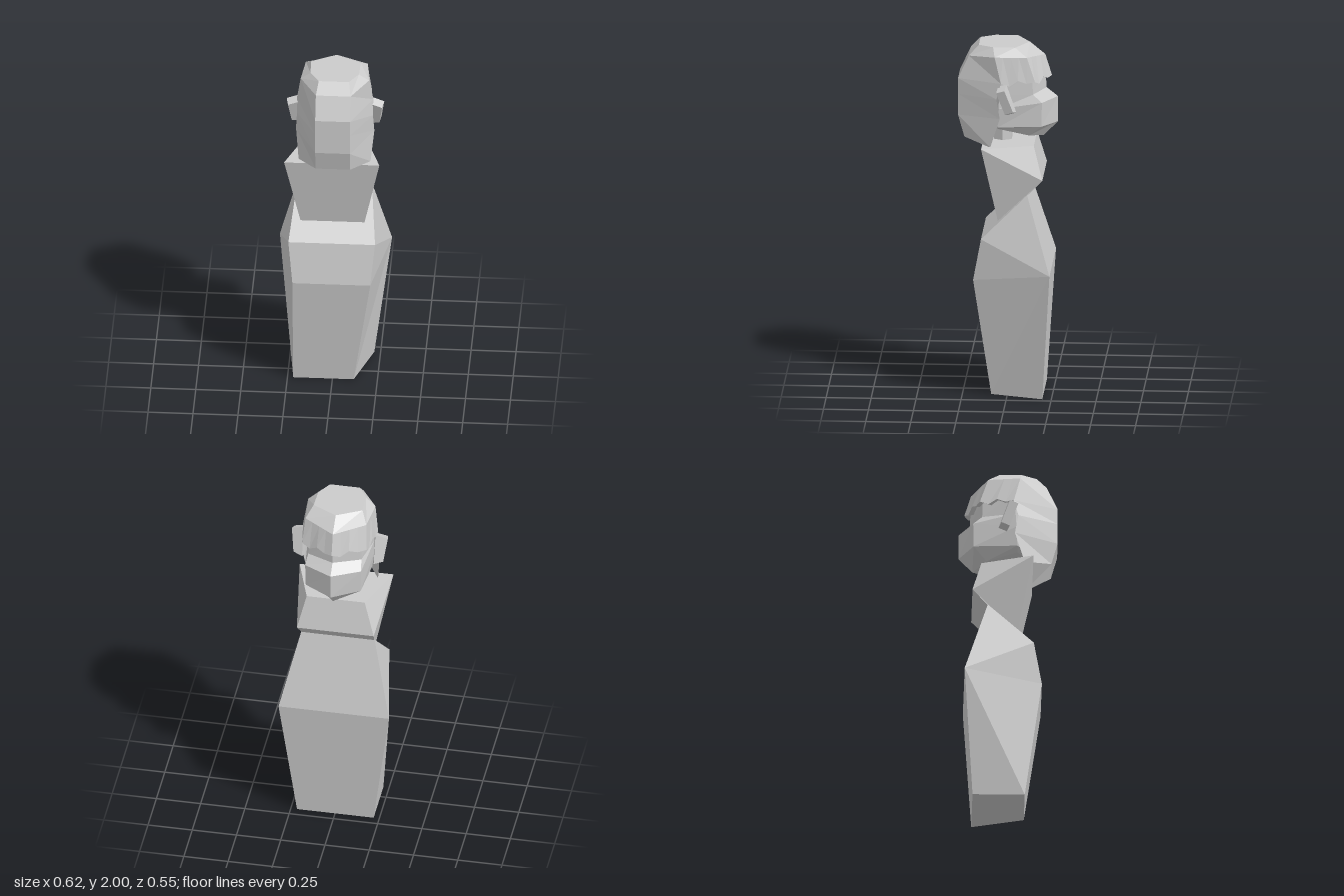
import * as THREE from 'three';

const CX = 0.012; // head is slightly off the body axis
const material = () => new THREE.MeshStandardMaterial({ color: 0xcccccc, flatShading: true, side: THREE.DoubleSide });

// mesh from a flat list of triangle corners
function facets(name, corners) {
  const g = new THREE.BufferGeometry();
  g.setAttribute('position', new THREE.Float32BufferAttribute(corners.flat(), 3));
  g.computeVertexNormals();
  const mesh = new THREE.Mesh(g, material());
  mesh.name = name;
  return mesh;
}

// side outline [z, y, leftX, rightX] spanned across x; sides fan from the first point
function slab(name, outline) {
  const L = outline.map(([z, y, l]) => [l, y, z]);
  const R = outline.map(([z, y, , r]) => [r, y, z]);
  const t = [], n = outline.length;
  for (let i = 0; i < n; i++) {
    const j = (i + 1) % n;
    t.push(L[i], R[i], R[j], L[i], R[j], L[j]);
    if (i > 0 && j > 0) t.push(L[0], L[i], L[j], R[0], R[j], R[i]);
  }
  return facets(name, t);
}

// surface through rows of points
function skin(rows, closed) {
  const t = [];
  for (let r = 0; r + 1 < rows.length; r++) {
    const a = rows[r], b = rows[r + 1], n = a.length;
    for (let i = 0; i < (closed ? n : n - 1); i++) {
      const j = (i + 1) % n;
      t.push(a[i], a[j], b[j], a[i], b[j], b[i]);
    }
  }
  return t;
}

function cap(ring) {
  const t = [];
  for (let i = 1; i + 1 < ring.length; i++) t.push(ring[0], ring[i], ring[i + 1]);
  return t;
}

// half row [x, y, z] starting on the centre line, mirrored to a full row
function mirrorRow(half) {
  const place = (s) => ([x, y, z]) => [CX + s * x, y, z];
  return [...half.slice(1).reverse().map(place(-1)), ...half.map(place(1))];
}

// insert points between neighbours
function subdivide(row, k) {
  const out = [];
  for (let i = 0; i + 1 < row.length; i++)
    for (let s = 0; s < k; s++) out.push(row[i].map((v, c) => v + (row[i + 1][c] - v) * s / k));
  return [...out, row[row.length - 1]];
}

function buildHair() {
  // crown rows: centre front, front corner, side, rear corner
  const crown = [
    [[0, 2, -0.118], [0.138, 2, -0.045], [0.135, 2, 0.078], [0.084, 2, 0.16]],
    [[0, 1.93, -0.205], [0.172, 1.952, -0.112], [0.19, 1.955, 0.066], [0.0965, 1.94, 0.215]],
    [[0, 1.81, -0.242], [0.182, 1.815, -0.158], [0.212, 1.81, 0.03], [0.0965, 1.81, 0.275]],
  ];
  const full = crown.map(mirrorRow);
  const t = cap(full[0]);
  t.push(...skin([full[0], full[1]], true));

  // fringe with a wavy hem and a lip turned in to the face
  const front = crown.slice(1).map(h => subdivide(mirrorRow(h.slice(0, 3)), 4));
  const hem = front[1].map(([x, y, z], i) => [x, y + [0, -0.006, 0.012, -0.018][i % 4], z]);
  const lip = hem.map(([x, y, z]) => [CX + (x - CX) * 0.86, y + 0.005, z * 0.86]);
  t.push(...skin([front[0], hem, lip]));

  // long back panels
  const back = [
    crown[1].slice(2),
    crown[2].slice(2),
    [[0.211, 1.72, 0.055], [0.0965, 1.72, 0.275]],
    [[0.218, 1.61, 0.036], [0.0965, 1.6, 0.275]],
    [[0.2, 1.44, 0.09], [0.0965, 1.475, 0.24]],
  ].map(h => {
    const [side, rear] = h;
    const m = ([x, y, z]) => [CX - x, y, z], p = ([x, y, z]) => [CX + x, y, z];
    return [m(side), m(rear), p(rear), p(side)];
  });
  t.push(...skin(back));
  return facets('hair', t);
}

function buildFace() {
  // rows from brow to chin: centre, cheek, side, back
  const rows = [
    [[0, 1.86, -0.205], [0.15, 1.86, -0.14], [0.19, 1.86, 0.03], [0.1, 1.86, 0.12]],
    [[0, 1.74, -0.212], [0.15, 1.735, -0.145], [0.19, 1.74, 0.04], [0.1, 1.74, 0.12]],
    [[0, 1.69, -0.275], [0.158, 1.69, -0.195], [0.19, 1.66, 0.045], [0.1, 1.66, 0.12]],
    [[0, 1.545, -0.275], [0.155, 1.553, -0.192], [0.175, 1.55, 0.05], [0.1, 1.55, 0.1]],
    [[0, 1.465, -0.197], [0.1, 1.487, -0.12], [0.13, 1.53, 0.05], [0.08, 1.53, 0.08]],
  ].map(mirrorRow);
  return facets('face', [...skin(rows, true), ...cap(rows[0]), ...cap(rows[4])]);
}

// tilted, tapered ear block
function buildEar(s) {
  const g = new THREE.BoxGeometry(0.07, 0.17, 0.05);
  const p = g.attributes.position;
  for (let i = 0; i < p.count; i++) {
    const x = p.getX(i), y = p.getY(i);
    if (x * s > 0) {
      p.setY(i, y * 0.8);
      if (y < 0) p.setX(i, x - s * 0.018);
    }
  }
  const ear = new THREE.Mesh(g, material());
  ear.name = s > 0 ? 'leftEar' : 'rightEar';
  ear.position.set(CX + s * 0.232, 1.715, 0.002);
  ear.rotation.set(0.33, -s * 0.2, 0);
  return ear;
}

export function createModel() {
  const model = new THREE.Group();
  model.name = 'bust';

  model.add(slab('torso', [
    [-0.245, 0.73, -0.313, 0.311], [-0.2, 0, -0.218, 0.215], [0.09, 0, -0.218, 0.118],
    [0.185, 0.68, -0.217, 0.216], [0.14, 0.92, -0.242, 0.24], [-0.115, 1.168, -0.207, 0.207],
  ]));
  model.add(slab('shoulders', [
    [-0.2, 1.255, -0.218, 0.216], [-0.115, 1.165, -0.205, 0.205], [0.05, 1.01, -0.18, 0.176],
    [0.138, 1.443, -0.266, 0.264], [-0.15, 1.443, -0.158, 0.17],
  ]));

  const neck = new THREE.Mesh(new THREE.CylinderGeometry(0.056, 0.056, 0.16, 6), material());
  neck.name = 'neck';
  neck.position.set(0, 1.48, 0.03);
  neck.rotation.y = Math.PI / 6;
  model.add(neck);

  const head = new THREE.Group();
  head.name = 'head';
  head.add(buildFace(), buildHair(), buildEar(1), buildEar(-1));
  model.add(head);
  return model;
}
